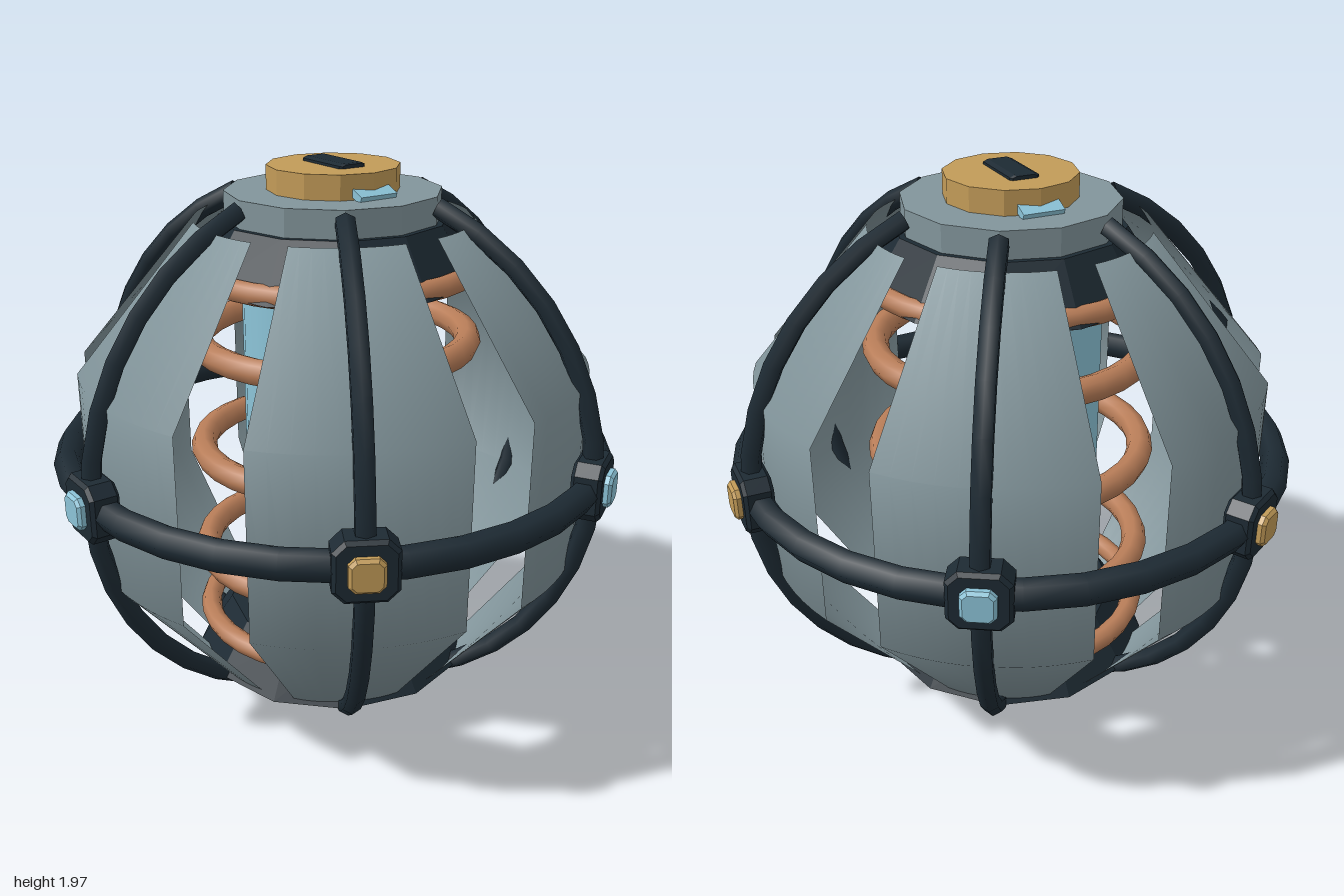
import * as THREE from 'three';

const GREY = 0x82959b, DARK = 0x1d2a33, COPPER = 0xb87d58, GOLD = 0xc29b58, BLUE = 0x8cc4d8;
const MID = 0.98; // height of the equator
const rad = THREE.MathUtils.degToRad;

function mat(color, flat = false, side = THREE.FrontSide) {
  return new THREE.MeshStandardMaterial({ color, flatShading: flat, side });
}

function add(parent, name, geometry, material, x = 0, y = 0, z = 0) {
  const mesh = new THREE.Mesh(geometry, material);
  mesh.name = name;
  mesh.position.set(x, y, z);
  parent.add(mesh);
  return mesh;
}

// Upright cylinder or cone between two heights
function drum(parent, name, color, rTop, rBottom, y0, y1, sides = 12, flat = true, x = 0, z = 0) {
  const geo = new THREE.CylinderGeometry(rTop, rBottom, y1 - y0, sides);
  return add(parent, name, geo, mat(color, flat), x, (y0 + y1) / 2, z);
}

// Square plate with cut corners and a small bevel, from z = 0 to z = depth
function chamferedBlock(half, cut, depth, bevel) {
  const a = half - bevel, b = a - cut;
  const shape = new THREE.Shape([
    [a, -b], [a, b], [b, a], [-b, a], [-a, b], [-a, -b], [-b, -a], [b, -a],
  ].map(([x, y]) => new THREE.Vector2(x, y)));
  const geo = new THREE.ExtrudeGeometry(shape, {
    depth: depth - 2 * bevel, bevelThickness: bevel, bevelSize: bevel, bevelSegments: 1,
  });
  return geo.translate(0, 0, bevel);
}

export function createModel() {
  const model = new THREE.Group();
  model.name = 'cagedSphere';

  // Glowing core with copper coils around it
  drum(model, 'core', BLUE, 0.31, 0.31, 0.41, 1.55, 20, false);
  for (const [dy, tube] of [[-0.64, 0.037], [-0.39, 0.045], [0, 0.045], [0.39, 0.045], [0.64, 0.037]]) {
    const coil = new THREE.TorusGeometry(0.458, tube, 8, 32).rotateX(Math.PI / 2);
    add(model, 'coil', coil, mat(COPPER), 0, MID + dy, 0);
  }

  // Dark hubs and grey collars at both poles
  drum(model, 'upperHub', DARK, 0.38, 0.5, 1.6, 1.78);
  drum(model, 'lowerHub', DARK, 0.38, 0.5, 0.18, 0.36);
  drum(model, 'upperCollar', GREY, 0.36, 0.36, 1.78, 1.87);
  drum(model, 'lowerCollar', GREY, 0.36, 0.36, 0.09, 0.18);

  // Cap with its switch and side clips
  drum(model, 'cap', GOLD, 0.22, 0.22, 1.87, 1.95);
  const key = chamferedBlock(0.05, 0.012, 0.22, 0.008).translate(0, 0, -0.11).rotateY(Math.PI / 2);
  key.scale(1, 0.4, 1);
  add(model, 'switch', key, mat(DARK, true), 0, 1.945, 0);
  for (const s of [-1, 1]) {
    const clip = add(model, 'clip', new THREE.BoxGeometry(0.05, 0.025, 0.14), mat(BLUE, true), s * 0.22, 1.883, 0);
    clip.rotation.z = -s * 0.4;
  }

  // Base with three feet
  drum(model, 'base', DARK, 0.22, 0.22, 0, 0.09);
  for (let i = 0; i < 3; i++) {
    const a = rad(120 * i);
    drum(model, 'foot', COPPER, 0.08, 0.08, 0.04, 0.1, 12, true, 0.22 * Math.sin(a), 0.22 * Math.cos(a));
  }

  // Equator ring of the cage
  add(model, 'equatorRing', new THREE.TorusGeometry(0.925, 0.049, 6, 32).rotateX(Math.PI / 2), mat(DARK), 0, MID, 0);

  // Six sectors: shell panel, cage rib, joint and stud
  const panel = new THREE.SphereGeometry(0.925, 10, 3, rad(90 - 22.4), rad(44.8), rad(30), rad(120));
  const arc = rad(134);
  const rib = new THREE.TorusGeometry(0.93, 0.034, 6, 14, arc).rotateZ(-arc / 2).rotateY(-Math.PI / 2);
  const joint = chamferedBlock(0.1, 0.03, 0.1, 0.012);
  const stud = chamferedBlock(0.055, 0.015, 0.05, 0.01);
  for (let i = 0; i < 6; i++) {
    const sector = new THREE.Group();
    sector.name = 'sector';
    sector.position.y = MID;
    sector.rotation.y = rad(60 * i);
    add(sector, 'shellPanel', panel, mat(GREY, false, THREE.DoubleSide));
    add(sector, 'rib', rib, mat(DARK, false, THREE.DoubleSide));
    add(sector, 'joint', joint, mat(DARK, true), 0, 0, 0.875);
    add(sector, 'stud', stud, mat(i % 2 ? GOLD : BLUE, true), 0, 0, 0.95);
    model.add(sector);
  }
  return model;
}
